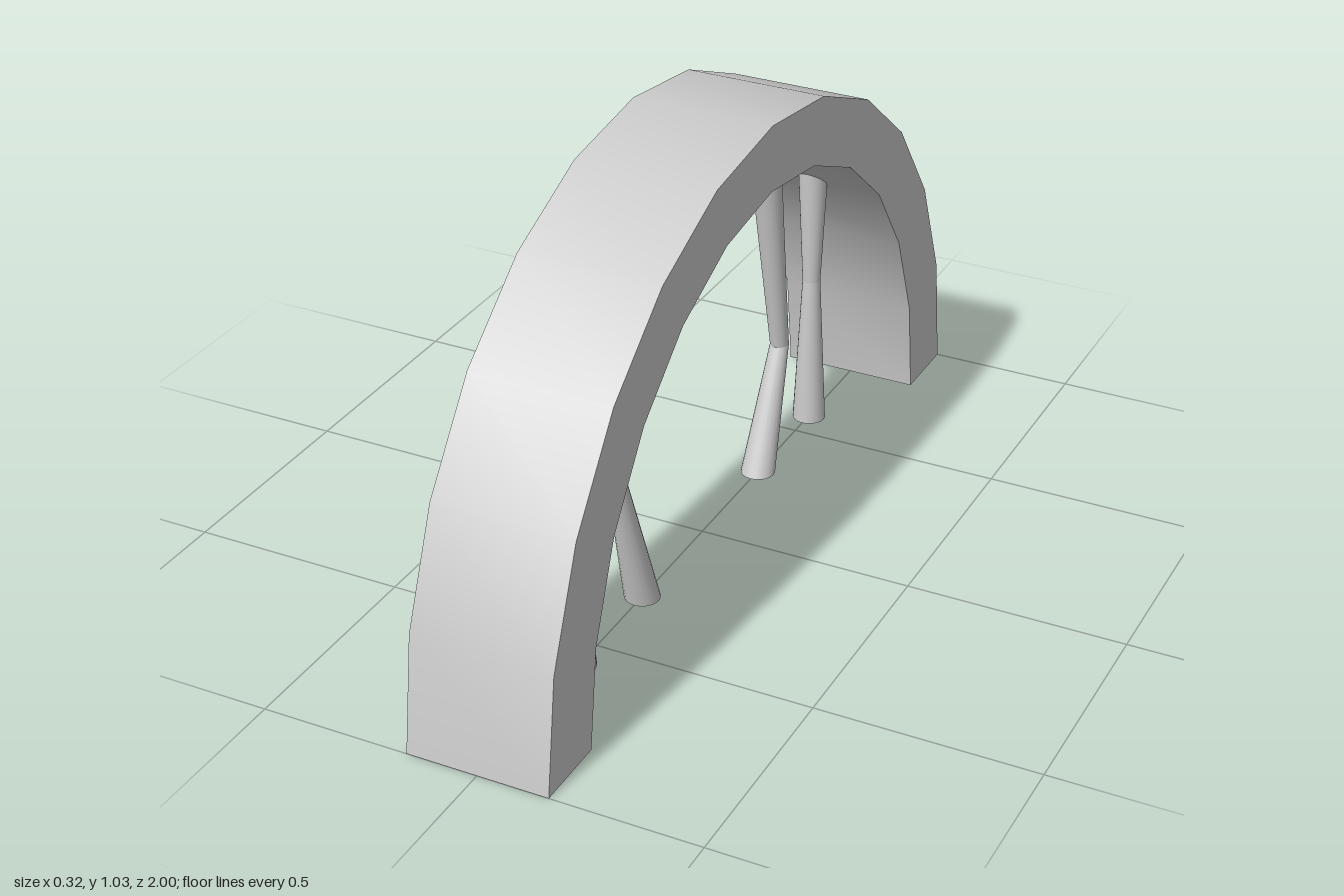
import * as THREE from 'three';

const material = new THREE.MeshStandardMaterial({ color: 0xcccccc, side: THREE.DoubleSide });
const HALF_WIDTH = 0.162;
const SEGMENTS = 12;

// Point on a half ellipse in the y-z plane, t from 0 (front foot) to 1 (back foot)
function arcPoint(t, x, rz, ry) {
  const a = Math.PI * t;
  return [x, ry * Math.sin(a), rz * Math.cos(a)];
}

// Surface strip between two arcs; each arc is [x, rz, ry]
function strip(a, b) {
  const positions = [];
  const index = [];
  for (let i = 0; i <= SEGMENTS; i++) {
    const t = i / SEGMENTS;
    positions.push(...arcPoint(t, ...a), ...arcPoint(t, ...b));
    if (i < SEGMENTS) {
      const k = i * 2;
      index.push(k, k + 1, k + 2, k + 1, k + 3, k + 2);
    }
  }
  const geometry = new THREE.BufferGeometry();
  geometry.setAttribute('position', new THREE.Float32BufferAttribute(positions, 3));
  geometry.setIndex(index);
  geometry.computeVertexNormals();
  return geometry;
}

// Hollow arch, open at both feet
function createArch() {
  const arch = new THREE.Group();
  arch.name = 'arch';
  const outerL = [HALF_WIDTH, 1, 1.03];
  const outerR = [-HALF_WIDTH, 1, 1.03];
  const innerL = [HALF_WIDTH, 0.825, 0.88];
  const innerR = [-HALF_WIDTH, 0.825, 0.88];
  const faces = {
    archTop: [outerR, outerL],
    archUnderside: [innerL, innerR],
    archLeftSide: [outerL, innerL],
    archRightSide: [innerR, outerR],
  };
  for (const [name, [a, b]] of Object.entries(faces)) {
    const mesh = new THREE.Mesh(strip(a, b), material);
    mesh.name = name;
    arch.add(mesh);
  }
  return arch;
}

// Open tapered tube with level ends, leaning in z; ends are [y, z, radius]
function legSection([y0, z0, r0], [y1, z1, r1]) {
  const h = y1 - y0;
  const geometry = new THREE.CylinderGeometry(r1, r0, h, 20, 1, true);
  const lean = (z1 - z0) / h;
  geometry.applyMatrix4(new THREE.Matrix4().set(
    1, 0, 0, 0,
    0, 1, 0, (y0 + y1) / 2,
    0, lean, 1, (z0 + z1) / 2,
    0, 0, 0, 1,
  ));
  return geometry;
}

// Leg bent at the knee: foot, knee and top rings
function createLeg(name, foot, knee, top) {
  const leg = new THREE.Group();
  leg.name = name;
  const lower = new THREE.Mesh(legSection(foot, knee), material);
  lower.name = name + 'Lower';
  const upper = new THREE.Mesh(legSection(knee, top), material);
  upper.name = name + 'Upper';
  leg.add(lower, upper);
  return leg;
}

export function createModel() {
  const model = new THREE.Group();
  model.name = 'archWithLegs';
  model.add(
    createArch(),
    createLeg('frontOuterLeg', [0, 0.579, 0.038], [0.3, 0.598, 0.021], [0.67, 0.584, 0.034]),
    createLeg('frontInnerLeg', [0, 0.292, 0.04], [0.36, 0.404, 0.021], [0.84, 0.304, 0.035]),
    createLeg('backInnerLeg', [0, -0.292, 0.04], [0.285, -0.402, 0.022], [0.84, -0.305, 0.037]),
    createLeg('backOuterLeg', [0, -0.578, 0.039], [0.37, -0.577, 0.021], [0.67, -0.575, 0.035]),
  );
  return model;
}
